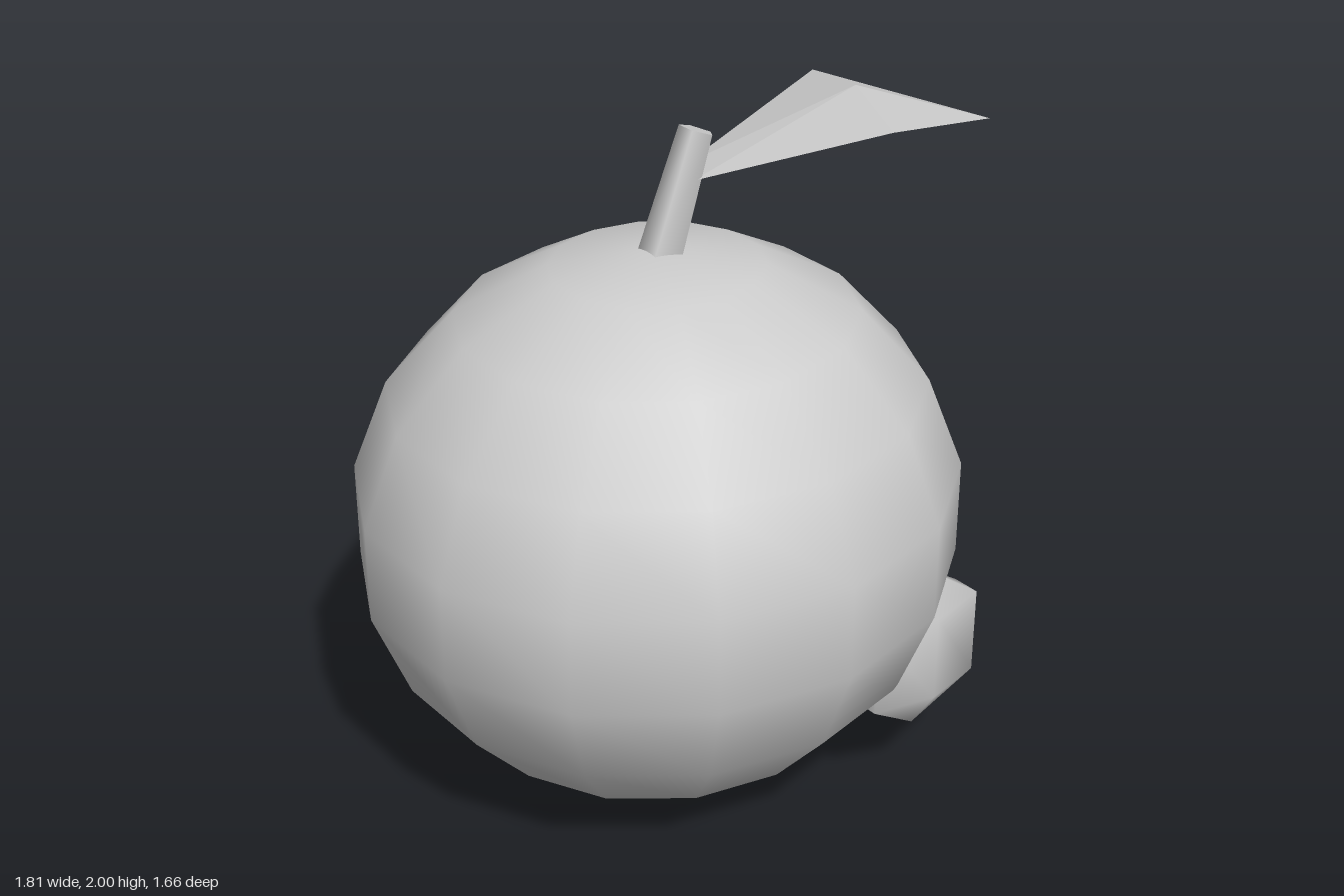
import * as THREE from 'three';

export function createModel() {
  const group = new THREE.Group();
  const grey = new THREE.MeshStandardMaterial({ color: 0xcccccc });
  grey.name = 'light grey';
  const leafGrey = grey.clone();
  leafGrey.name = 'light grey leaf';
  leafGrey.flatShading = true;
  leafGrey.side = THREE.DoubleSide;

  const add = (name, geometry, material, x, y, z) => {
    const mesh = new THREE.Mesh(geometry, material);
    mesh.name = name;
    mesh.position.set(x, y, z);
    group.add(mesh);
    return mesh;
  };

  // Fruit body: coarse smooth sphere with a facet corner facing the front
  const body = new THREE.SphereGeometry(1, 14, 9, Math.PI / 2).scale(0.88, 0.805, 0.843);
  add('fruitBody', body, grey, -0.065, 0.806, 0);

  // Flattened bump half sunk into the lower front
  const bump = new THREE.SphereGeometry(1, 6, 3, Math.PI / 2).scale(0.25, 0.26, 0.098);
  add('bump', bump, grey, 0.388, 0.47, 0.605);

  // Five-sided tapered stem leaning to one side
  const stem = new THREE.CylinderGeometry(0.05, 0.065, 0.36, 5, 1, false, Math.PI / 2);
  add('stem', stem, grey, 0.007, 1.743, 0).rotation.z = -0.35;

  // Folded leaf: narrow root, raised middle, two side corners and a tip
  const rootBack = [0.075, 1.8, -0.05], rootFront = [0.025, 1.79, 0.04];
  const middle = [0.465, 2.0, 0.18], tip = [0.9, 1.83, 0.26];
  const sideBack = [0.54, 1.955, -0.08], sideFront = [0.385, 1.955, 0.42];
  const faces = [
    [rootBack, middle, sideBack],
    [rootBack, rootFront, middle],
    [rootFront, sideFront, middle],
    [middle, tip, sideBack],
    [sideFront, tip, middle],
  ];
  const leaf = new THREE.BufferGeometry();
  leaf.setAttribute('position', new THREE.Float32BufferAttribute(faces.flat(2), 3));
  leaf.computeVertexNormals();
  add('leaf', leaf, leafGrey, 0, 0, 0);

  return group;
}
